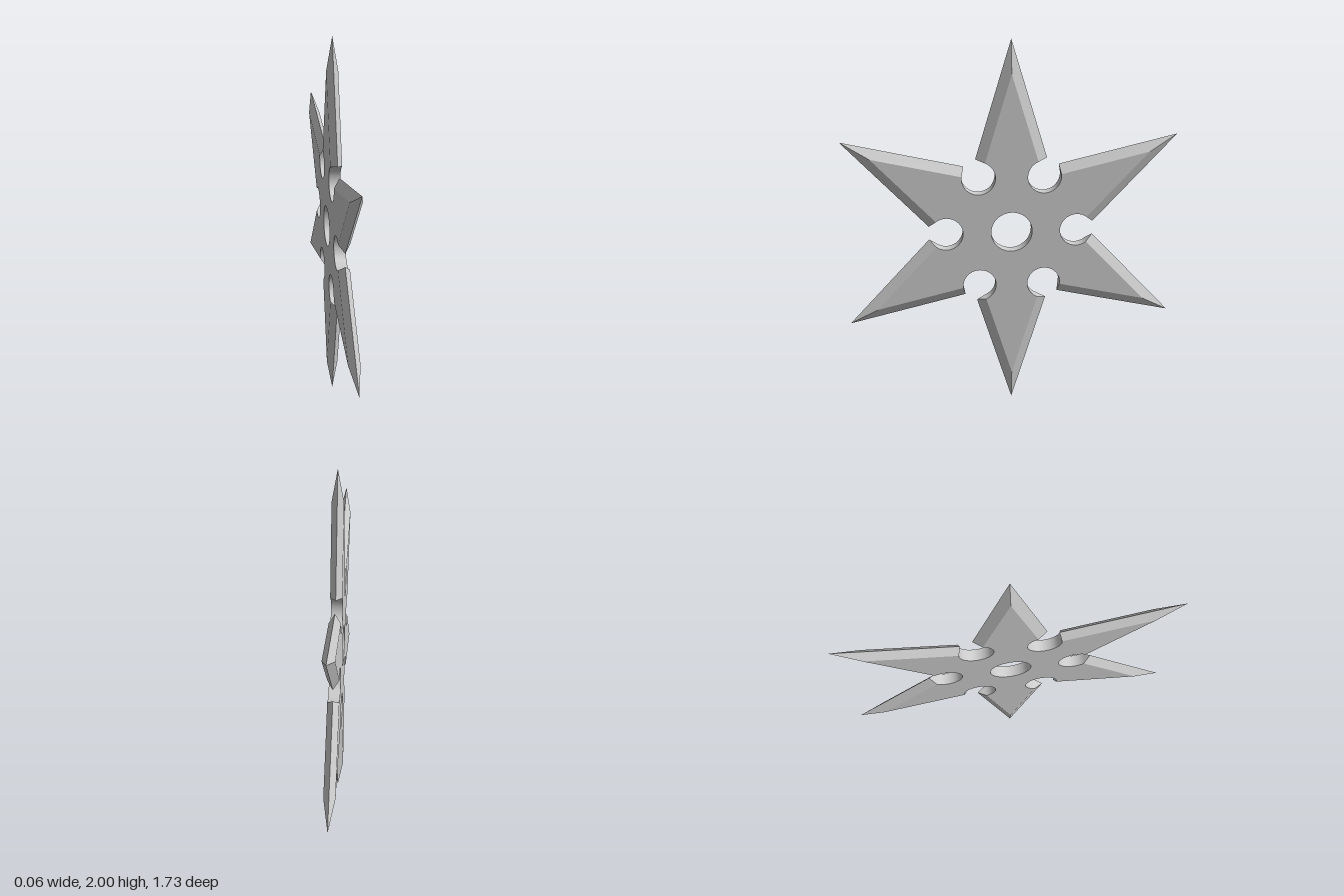
import * as THREE from 'three';
import { mergeGeometries, toCreasedNormals } from 'three/addons/utils/BufferGeometryUtils.js';

const HALF = 0.03;         // half thickness
const HOLE_R = 0.108;      // central hole
const NOTCH_D = 0.343;     // notch distance from the centre
const NOTCH_R = 0.0875;
const ARC_STEPS = 26;
const rad = THREE.MathUtils.degToRad;
const polar = (r, a) => new THREE.Vector2(r * Math.cos(a), r * Math.sin(a));

// Matching outlines of the flat face and of the sharp middle edge
function starOutlines() {
  const face = [], edge = [];
  for (let k = 0; k < 6; k++) {
    const turn = rad(60 * k), centre = polar(NOTCH_D, turn);
    const onNotch = (deg, r = NOTCH_R) => polar(r, turn + rad(deg)).add(centre);
    const add = (f, e) => { face.push(f); edge.push(e); };

    // blade tip
    add(polar(0.83, turn - rad(30)), polar(1, turn - rad(30)));
    // lip going into the notch
    const start = onNotch(-52.6), end = onNotch(52.6);
    add(start, onNotch(-21.6, 0.0965));
    add(start, onNotch(-38));
    // round notch
    for (let i = 0; i <= ARC_STEPS; i++) {
      const p = onNotch(-52.6 - (254.8 * i) / ARC_STEPS);
      add(p, p);
    }
    // lip coming out of the notch
    add(end, onNotch(38));
    add(end, onNotch(21.6, 0.0965));
  }
  return { face, edge };
}

// Closed wall between a lower and an upper outline, without empty triangles
function wall(lower, zLow, upper, zHigh) {
  const pos = [], n = lower.length;
  const triangle = (...pts) => {
    const [a, b, c] = pts;
    const area = b.clone().sub(a).cross(c.clone().sub(a)).length();
    if (area > 1e-8) pts.forEach((p) => pos.push(p.x, p.y, p.z));
  };
  const at = (p, z) => new THREE.Vector3(p.x, p.y, z);
  for (let i = 0; i < n; i++) {
    const j = (i + 1) % n;
    const a = at(lower[i], zLow), b = at(lower[j], zLow);
    const c = at(upper[j], zHigh), d = at(upper[i], zHigh);
    triangle(a, b, c);
    triangle(a, c, d);
  }
  const geo = new THREE.BufferGeometry();
  geo.setAttribute('position', new THREE.Float32BufferAttribute(pos, 3));
  return geo;
}

// Flat star face with the central hole
function flatFace(outline, hole) {
  const points = outline.filter((p, i) => i === 0 || p.distanceTo(outline[i - 1]) > 1e-6);
  const shape = new THREE.Shape(points);
  shape.holes.push(new THREE.Path(hole));
  const geo = new THREE.ShapeGeometry(shape).toNonIndexed();
  geo.deleteAttribute('uv');
  geo.deleteAttribute('normal');
  return geo.translate(0, 0, HALF);
}

export function createModel() {
  const { face, edge } = starOutlines();
  const hole = Array.from({ length: 48 }, (_, i) => polar(HOLE_R, -rad(7.5 * i)));

  const front = flatFace(face, hole);
  const geometry = mergeGeometries([
    front,
    front.clone().rotateY(Math.PI),
    wall(edge, 0, face, HALF),
    wall(face, -HALF, edge, 0),
    wall(hole, -HALF, hole, HALF),
  ]);
  geometry.rotateY(Math.PI / 2);

  const blade = new THREE.Mesh(
    toCreasedNormals(geometry, 0.4),
    new THREE.MeshStandardMaterial({ color: 0xcccccc })
  );
  blade.name = 'sixPointedBlade';
  blade.position.y = 1;

  const group = new THREE.Group();
  group.name = 'throwingStar';
  group.add(blade);
  return group;
}
